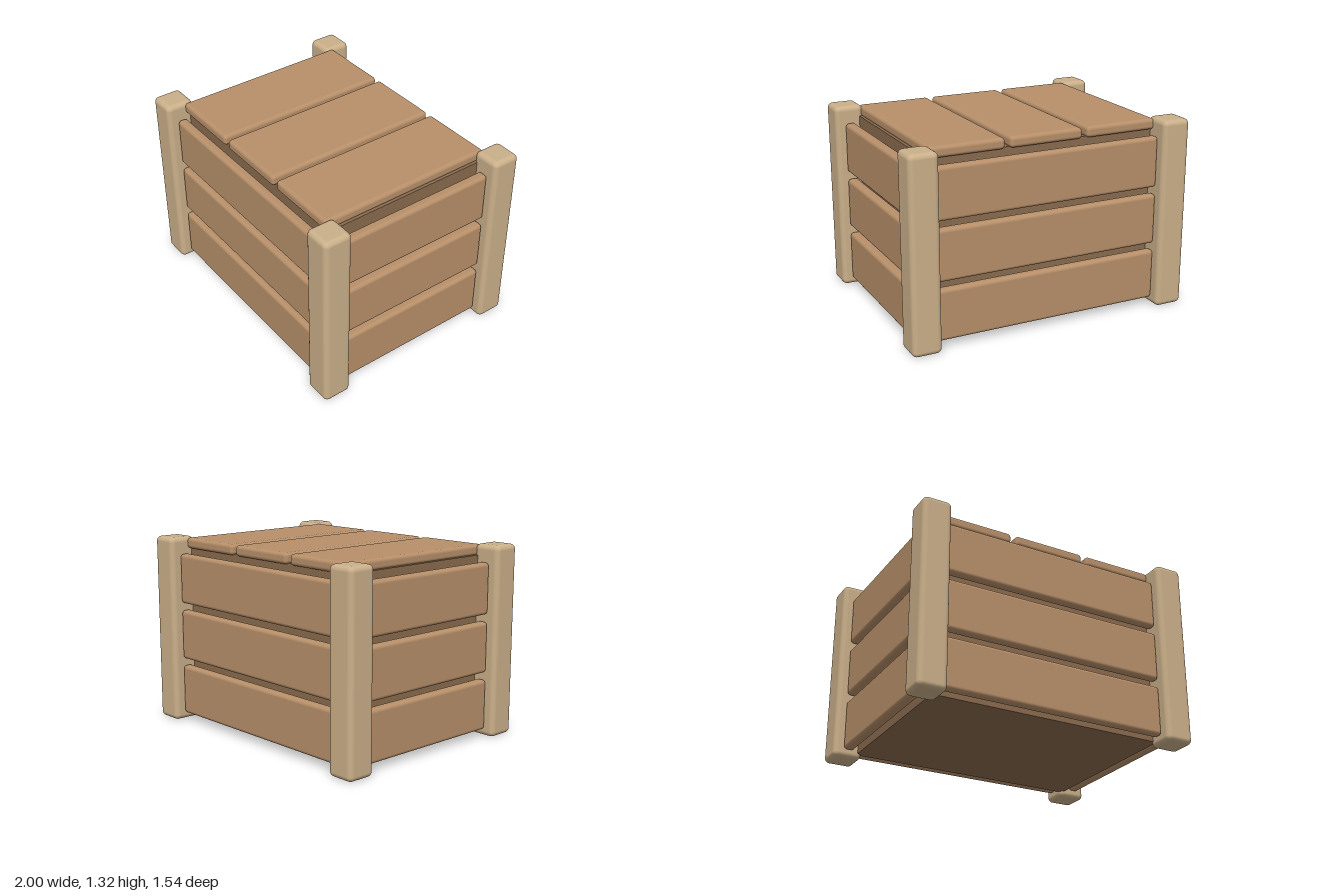
import * as THREE from 'three';
import { RoundedBoxGeometry } from 'three/addons/geometries/RoundedBoxGeometry.js';

const plankWood = new THREE.MeshStandardMaterial({ color: 0xb8906a });
const postWood = new THREE.MeshStandardMaterial({ color: 0xcbb08a });
const innerWood = new THREE.MeshStandardMaterial({ color: 0x8a6b4e });

export function createModel() {
  const crate = new THREE.Group();
  crate.name = 'crate';

  const add = (name, geometry, material, x, y, z) => {
    const mesh = new THREE.Mesh(geometry, material);
    mesh.name = name;
    mesh.position.set(x, y, z);
    crate.add(mesh);
  };

  // Plain inner box seen through the gaps
  add('innerBox', new THREE.BoxGeometry(1.66, 1.2, 1.2), innerWood, 0, 0.64, 0);

  // Corner posts
  const post = new RoundedBoxGeometry(0.2, 1.315, 0.2, 4, 0.035);
  for (const x of [-0.9, 0.9])
    for (const z of [-0.668, 0.668]) add('cornerPost', post, postWood, x, 0.6575, z);

  // Three rows of wall planks
  const longPlank = new RoundedBoxGeometry(1.6, 0.35, 0.07, 4, 0.025);
  const shortPlank = new RoundedBoxGeometry(0.075, 0.35, 1.136, 4, 0.025);
  for (const y of [0.225, 0.625, 1.025]) {
    for (const s of [-1, 1]) {
      add(s > 0 ? 'frontPlank' : 'backPlank', longPlank, plankWood, 0, y, s * 0.668);
      add(s > 0 ? 'leftPlank' : 'rightPlank', shortPlank, plankWood, s * 0.9, y, 0);
    }
  }

  // Lid planks
  const lidPlank = new RoundedBoxGeometry(0.52, 0.075, 1.265, 4, 0.025);
  for (const x of [-0.555, 0, 0.555]) add('lidPlank', lidPlank, plankWood, x, 1.27, 0);

  return crate;
}
